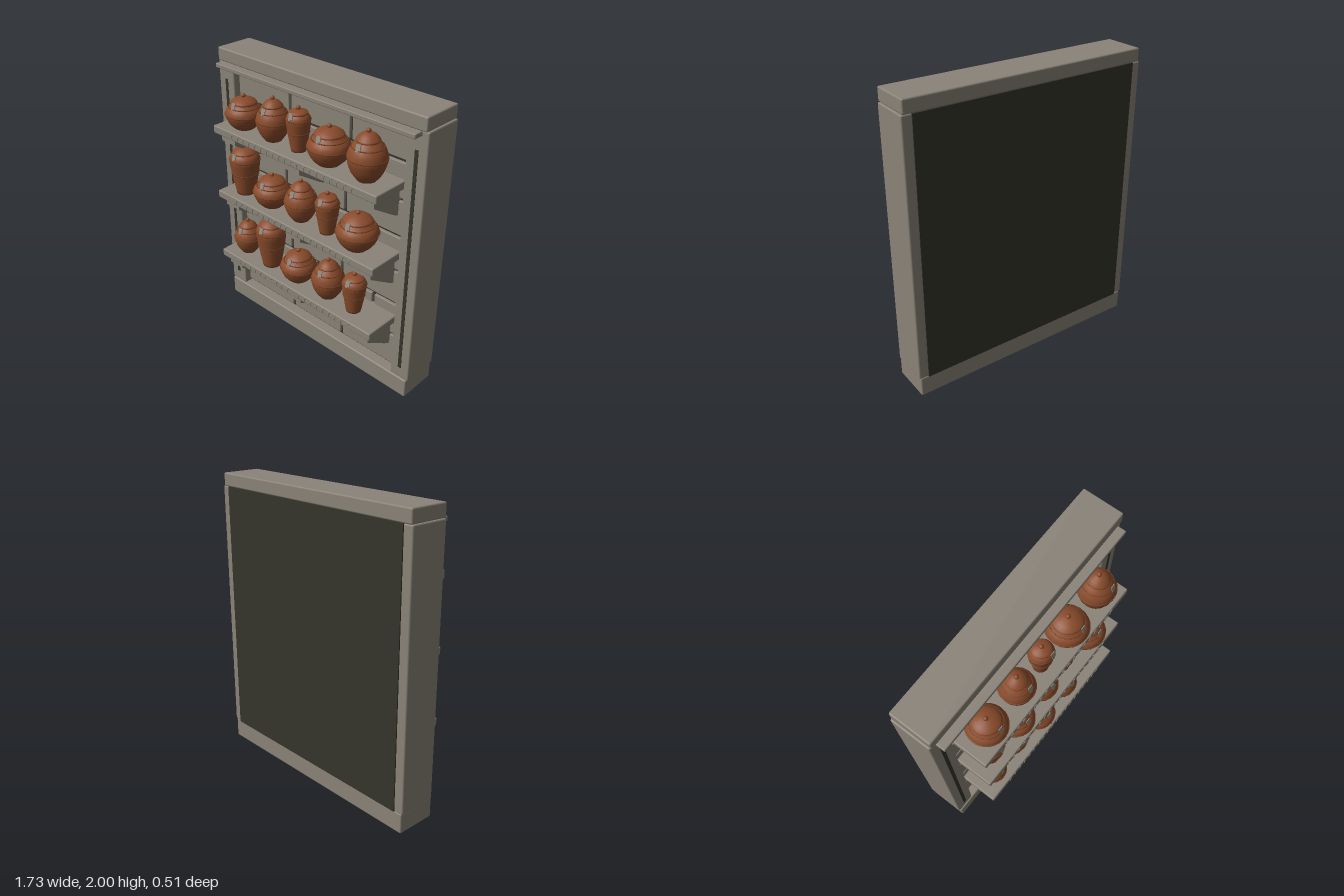
import * as THREE from 'three';
import { RoundedBoxGeometry } from 'three/addons/geometries/RoundedBoxGeometry.js';

const mat = (name, color) => {
  const m = new THREE.MeshStandardMaterial({ color });
  m.name = name;
  return m;
};

export function createModel() {
  const stone = mat('stone', 0x8a8378);
  const dark = mat('dark mortar', 0x35342b);
  const clay = mat('fired clay', 0x8a4b2b);
  const band = mat('dark clay', 0x74401f);
  const tagGrey = mat('tag grey', 0x8f8a80);

  const root = new THREE.Group();
  root.name = 'jarShelf';

  const add = (name, geometry, material, x = 0, y = 0, z = 0, parent = root) => {
    const m = new THREE.Mesh(geometry, material);
    m.name = name;
    m.position.set(x, y, z);
    parent.add(m);
    return m;
  };
  // Box given by its limits, with optionally softened edges
  const block = (name, material, x0, x1, y0, y1, z0, z1, r = 0, parent = root) => {
    const size = [x1 - x0, y1 - y0, z1 - z0];
    const g = r ? new RoundedBoxGeometry(...size, 2, r) : new THREE.BoxGeometry(...size);
    return add(name, g, material, (x0 + x1) / 2, (y0 + y1) / 2, (z0 + z1) / 2, parent);
  };

  // Frame
  block('base', stone, -0.855, 0.855, 0, 0.14, -0.25, 0.03, 0.01);
  block('lintel', stone, -0.855, 0.855, 1.91, 2, -0.25, 0.03, 0.01);
  block('cornice', stone, -0.82, 0.82, 1.88, 1.91, -0.03, 0.085, 0.006);
  for (const s of [-1, 1]) {
    const x = s * 0.7925;
    block('pillar', stone, x - 0.0725, x + 0.0725, 0.138, 1.912, -0.25, 0.02, 0.01);
    block('pillarGroove', dark, x - 0.0125, x + 0.0125, 0.22, 1.79, 0.016, 0.022);
  }

  // Back panel, showing between the wall blocks as mortar
  block('backPanel', dark, -0.8, 0.8, 0.138, 1.912, -0.257, -0.05);

  // Wall blocks, seven courses with staggered joints
  const joints = [
    [-0.23, 0.24], [-0.5, 0, 0.505], [-0.24, 0.23], [-0.495, 0, 0.475],
    [-0.285, 0.245], [-0.495, 0, 0.525], [-0.24, 0.275],
  ];
  const wall = new THREE.Group();
  wall.name = 'wall';
  root.add(wall);
  joints.forEach((row, i) => {
    const y = 0.15 + i * 0.252;
    const xs = [-0.74, ...row, 0.74];
    for (let k = 0; k < xs.length - 1; k++) {
      block('wallBlock', stone, xs[k] + 0.011, xs[k + 1] - 0.011, y + 0.011, y + 0.241, -0.1, -0.03, 0.005, wall);
    }
  });

  // Bracket side outline, drawn in (z, y) below the shelf and swept along x
  const bracketShape = new THREE.Shape([
    [-0.05, 0], [-0.05, -0.25], [-0.015, -0.245], [0.02, -0.225], [0.2, -0.11], [0.2, 0],
  ].map(([z, y]) => new THREE.Vector2(z, y)));
  const bracketGeo = new THREE.ExtrudeGeometry(bracketShape, { depth: 0.13, bevelEnabled: false });
  bracketGeo.rotateY(-Math.PI / 2).translate(0.065, 0, 0);

  // Jar outlines: radius and height as fractions, then lid rim radius, lid height, band heights
  const kinds = {
    squat: {
      body: [[0.52, 0], [0.8, 0.15], [0.97, 0.34], [1, 0.45], [0.92, 0.57], [0.74, 0.67], [0.62, 0.75]],
      rim: 0.7, lid: 0.73, bands: [0.43, 0.64],
    },
    round: {
      body: [[0.5, 0], [0.8, 0.16], [0.97, 0.34], [1, 0.45], [0.92, 0.58], [0.72, 0.7], [0.52, 0.78]],
      rim: 0.61, lid: 0.76, bands: [0.45, 0.66],
    },
    tall: {
      body: [[0.62, 0], [0.74, 0.18], [0.87, 0.4], [0.98, 0.6], [1, 0.68], [0.92, 0.77], [0.68, 0.84]],
      rim: 0.79, lid: 0.82, bands: [0.42, 0.7],
    },
  };
  const tagShape = new THREE.Shape([
    [-0.016, 0.022], [0.016, 0.025], [0.018, -0.012], [0.006, -0.014], [0.002, -0.024], [-0.012, -0.022],
  ].map(([x, y]) => new THREE.Vector2(x, y)));
  const tagGeo = new THREE.ExtrudeGeometry(tagShape, { depth: 0.005, bevelEnabled: false });

  function jar(kind, x, y, r, h) {
    const k = kinds[kind];
    const g = new THREE.Group();
    g.name = kind + 'Jar';
    g.position.set(x, y, 0.11);
    root.add(g);
    const curve = new THREE.SplineCurve(k.body.map(([a, b]) => new THREE.Vector2(a * r, b * h)));
    const pts = curve.getPoints(16);
    add('jarBody', new THREE.LatheGeometry([new THREE.Vector2(0, 0), ...pts], 20), clay, 0, 0, 0, g);
    const radiusAt = (f) => {
      const i = pts.findIndex((p) => p.y >= f * h);
      const a = pts[i - 1], b = pts[i];
      return a.x + ((b.x - a.x) * (f * h - a.y)) / (b.y - a.y);
    };
    for (const f of k.bands) {
      const t = new THREE.TorusGeometry(radiusAt(f), 0.004, 5, 24).rotateX(Math.PI / 2);
      add('jarBand', t, band, 0, f * h, 0, g);
    }
    // Lid with brim, dome and knob
    const R = k.rim * r, y0 = k.lid * h, top = h - 0.022;
    const lid = [[0, y0], [R * 0.95, y0], [R, y0 + 0.006], [R * 0.95, y0 + 0.013],
      [R * 0.7, y0 + (top - y0) * 0.65], [R * 0.35, top - 0.003], [0, top]];
    add('jarLid', new THREE.LatheGeometry(lid.map(([a, b]) => new THREE.Vector2(a, b)), 20), clay, 0, 0, 0, g);
    add('lidKnob', new THREE.SphereGeometry(0.015, 12, 8), clay, 0, h - 0.015, 0, g);
    // Small tag leaning on the shoulder
    const f = kind === 'tall' ? 0.76 : 0.66;
    const tag = add('jarTag', tagGeo, tagGrey, 0.01, f * h + 0.018, radiusAt(f) + 0.002, g);
    tag.rotation.x = -0.3;
  }

  // Shelves with brackets, front pegs and jars: [kind, x, radius, height]
  const shelves = [
    [1.55, [['squat', -0.525, 0.125, 0.235], ['round', -0.25, 0.11, 0.295], ['tall', -0.025, 0.078, 0.295],
      ['squat', 0.23, 0.135, 0.255], ['round', 0.525, 0.12, 0.318]]],
    [1.06, [['tall', -0.545, 0.105, 0.365], ['squat', -0.28, 0.127, 0.24], ['round', -0.01, 0.11, 0.295],
      ['tall', 0.22, 0.078, 0.295], ['squat', 0.47, 0.135, 0.26]]],
    [0.57, [['round', -0.55, 0.1, 0.27], ['tall', -0.305, 0.105, 0.388], ['squat', -0.04, 0.125, 0.245],
      ['round', 0.235, 0.112, 0.3], ['tall', 0.46, 0.08, 0.297]]],
  ];
  const pegGeo = new THREE.BoxGeometry(0.007, 0.034, 0.006);
  const capGeo = new THREE.BoxGeometry(0.018, 0.007, 0.006);
  for (const [y, jars] of shelves) {
    block('shelf', stone, -0.7, 0.7, y - 0.055, y, -0.05, 0.235, 0.008);
    for (const x of [-0.595, 0, 0.595]) add('bracket', bracketGeo, stone, x, y, 0);
    for (let i = 0; i < 20; i++) {
      const x = -0.515 + i * 0.0542;
      add('carvedPeg', pegGeo, stone, x, y - 0.029, 0.236);
      add('carvedPegCap', capGeo, stone, x + 0.004, y - 0.015, 0.236);
    }
    for (const [kind, x, r, h] of jars) jar(kind, x, y, r, h);
  }
  return root;
}
